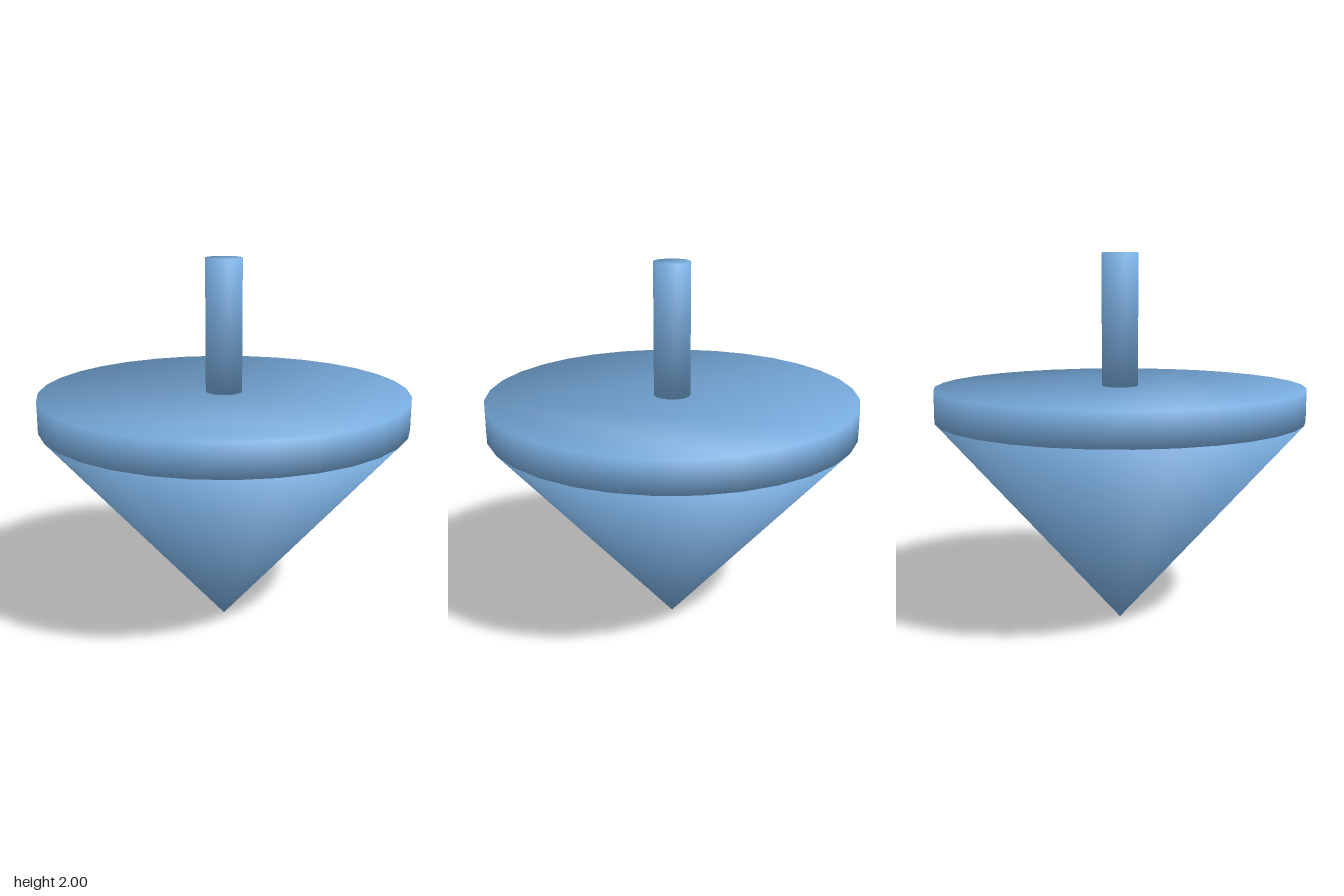
import * as THREE from 'three';

const SIDES = 32;

// Closed round solid between two rings, softly shaded over its rims.
// Ring: { r, y, out, up }, where out/up give the slope of the rim normal; r = 0 is a tip.
function roundSolid(bottom, top) {
  const positions = [], normals = [], index = [];
  const addRing = ({ r, y, out, up }) => {
    const start = positions.length / 3;
    const count = r > 0 ? SIDES : 1;
    const len = Math.hypot(out, up);
    for (let i = 0; i < count; i++) {
      const a = (i / SIDES) * Math.PI * 2;
      const s = Math.sin(a), c = Math.cos(a);
      positions.push(s * r, y, c * r);
      normals.push((s * out) / len, up / len, (c * out) / len);
    }
    return (i) => start + (i % count);
  };
  const low = addRing(bottom), high = addRing(top);

  // Side wall
  for (let i = 0; i < SIDES; i++) {
    if (bottom.r > 0) index.push(low(i), low(i + 1), high(i + 1));
    index.push(low(i), high(i + 1), high(i));
  }
  // Flat caps without a centre point, so the shading runs evenly across
  for (let i = 1; i < SIDES - 1; i++) {
    index.push(high(0), high(i), high(i + 1));
    if (bottom.r > 0) index.push(low(0), low(i + 1), low(i));
  }

  const geometry = new THREE.BufferGeometry();
  geometry.setAttribute('position', new THREE.Float32BufferAttribute(positions, 3));
  geometry.setAttribute('normal', new THREE.Float32BufferAttribute(normals, 3));
  geometry.setIndex(index);
  return geometry;
}

export function createModel() {
  const group = new THREE.Group();
  group.name = 'spinningTop';
  const blue = new THREE.MeshStandardMaterial({ color: 0x78acde });
  blue.name = 'skyBlue';

  const add = (name, bottom, top) => {
    const mesh = new THREE.Mesh(roundSolid(bottom, top), blue);
    mesh.name = name;
    group.add(mesh);
  };

  const R = 0.985, STEM = 0.097, RIM_LOW = 1.13, RIM_HIGH = 1.3;

  // Cone standing on its tip
  add('cone', { r: 0, y: 0, out: 0, up: -1 }, { r: R, y: RIM_LOW, out: 0.92, up: 0.39 });
  // Disc above the cone
  add('disc', { r: R, y: RIM_LOW, out: 1.06, up: -1 }, { r: R, y: RIM_HIGH, out: 1.06, up: 1 });
  // Handle to spin it by
  add('stem', { r: STEM, y: RIM_HIGH, out: 1.06, up: -1 }, { r: STEM, y: 2, out: 1.06, up: 1 });

  return group;
}
